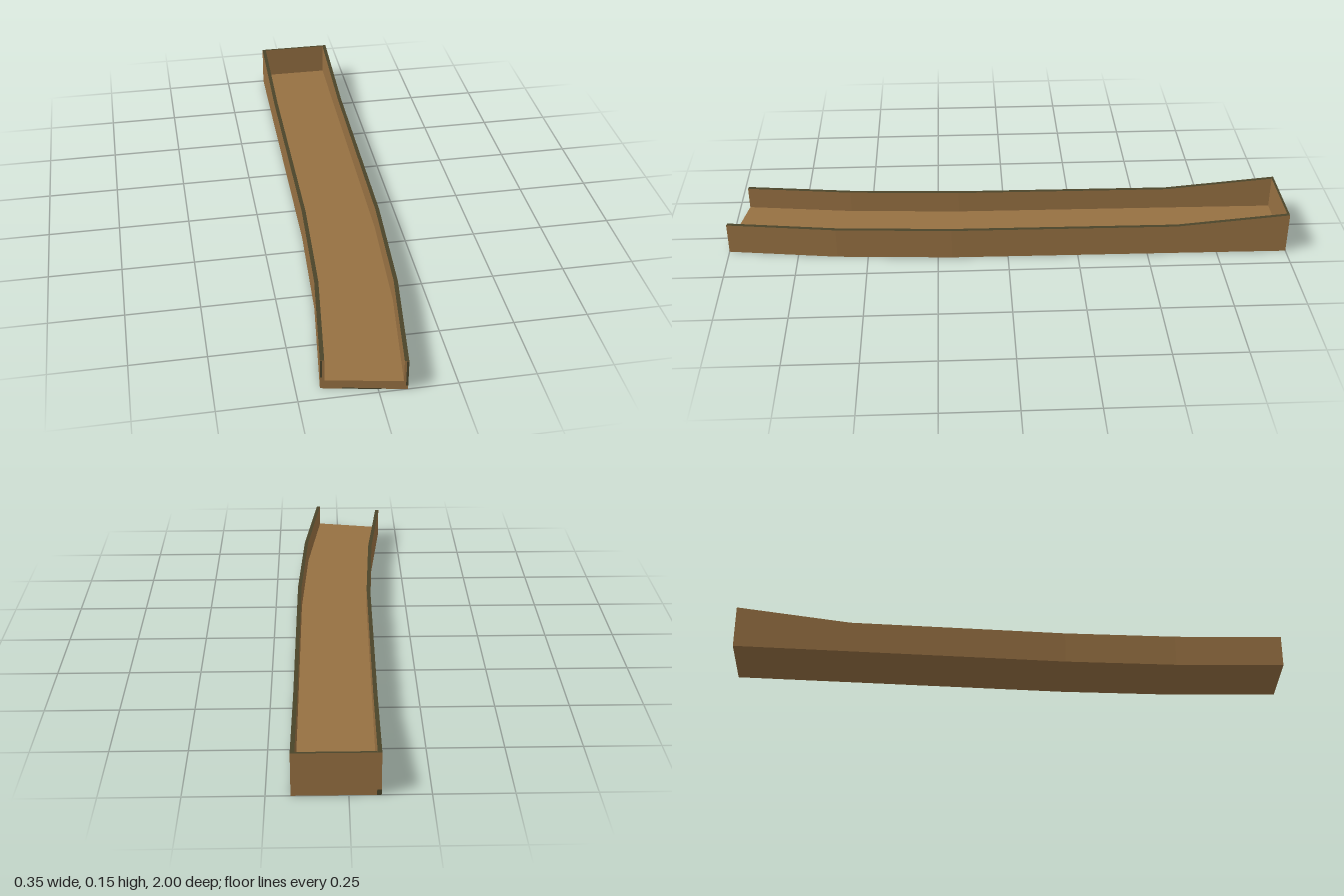
import * as THREE from 'three';

// Stations along the trough, back to front: left edge x,z, right edge x,z, wall height
const STATIONS = [
  [-0.098, -1.0, 0.174, -1.0, 0.15],
  [-0.102, -0.6, 0.17, -0.6, 0.112],
  [-0.109, 0.17, 0.163, 0.2, 0.112],
  [-0.13, 0.57, 0.14, 0.61, 0.112],
  [-0.175, 0.952, 0.09, 1.0, 0.112],
];
const BACK = STATIONS[0], FRONT = STATIONS[STATIONS.length - 1];
const FLOOR = 0.032; // floor thickness
const WALL = 0.05;   // wall thickness as a share of the width

// Point at a share u of the width and height y on a station
const at = ([lx, lz, rx, rz], u, y, dz = 0) =>
  [lx + (rx - lx) * u, y, lz + (rz - lz) * u + dz];

// U-shaped cross-section, anticlockwise seen from the front
function section(st) {
  const h = st[4];
  return [
    [0, 0], [1, 0], [1, h], [1 - WALL, h],
    [1 - WALL, FLOOR], [WALL, FLOOR], [WALL, h], [0, h],
  ].map(([u, y]) => at(st, u, y));
}

// Flat-shaded mesh from a list of four-cornered faces
function quadMesh(name, quads, material) {
  const pos = quads.flatMap(([a, b, c, d]) => [...a, ...b, ...c, ...a, ...c, ...d]);
  const geometry = new THREE.BufferGeometry();
  geometry.setAttribute('position', new THREE.Float32BufferAttribute(pos, 3));
  geometry.computeVertexNormals();
  const mesh = new THREE.Mesh(geometry, material);
  mesh.name = name;
  return mesh;
}

// Upright rectangle on an end face, facing the front
const patch = (st, u0, u1, y0, y1, dz) =>
  [at(st, u0, y0, dz), at(st, u1, y0, dz), at(st, u1, y1, dz), at(st, u0, y1, dz)];

// U-shaped end face
const endFace = (st) => [
  patch(st, 0, 1, 0, FLOOR),
  patch(st, 0, WALL, FLOOR, st[4]),
  patch(st, 1 - WALL, 1, FLOOR, st[4]),
];

export function createModel() {
  const group = new THREE.Group();
  group.name = 'trough';
  const wood = new THREE.MeshStandardMaterial({ color: 0x967042 });
  wood.name = 'brown wood';
  const dark = new THREE.MeshStandardMaterial({ color: 0x4a4429 });
  dark.name = 'dark worn edge';

  // Skin between neighbouring sections, with the wall tops kept apart
  const body = [], rims = [];
  const rings = STATIONS.map(section);
  for (let s = 0; s < rings.length - 1; s++) {
    const a = rings[s], b = rings[s + 1];
    for (let i = 0; i < 8; i++) {
      const j = (i + 1) % 8;
      (i === 2 || i === 6 ? rims : body).push([a[i], a[j], b[j], b[i]]);
    }
  }
  body.push(...endFace(FRONT), ...endFace(BACK).map((q) => q.reverse()));
  group.add(quadMesh('channel', body, wood), quadMesh('wallRims', rims, dark));

  // Worn spots on the front wall ends, front bottom edge and back corner
  group.add(quadMesh('wornSpots', [
    patch(FRONT, 0, WALL / 2, 0.045, FRONT[4], 0.001),
    patch(FRONT, 1 - WALL / 2, 1, 0.015, FRONT[4], 0.001),
    patch(FRONT, 0.25, 0.7, 0, 0.004, 0.001),
    patch(BACK, 0, 0.05, 0, 0.02, -0.001).reverse(),
  ], dark));

  // Board closing the raised back end, with a dark top
  const [lx, , rx, , h] = BACK;
  const backWall = new THREE.Mesh(
    new THREE.BoxGeometry((rx - lx) * (1 - 2 * WALL), h - FLOOR, 0.008),
    [wood, wood, dark, wood, wood, wood]);
  backWall.position.set((lx + rx) / 2, (h + FLOOR) / 2, -0.996);
  backWall.name = 'backWall';
  group.add(backWall);

  return group;
}
